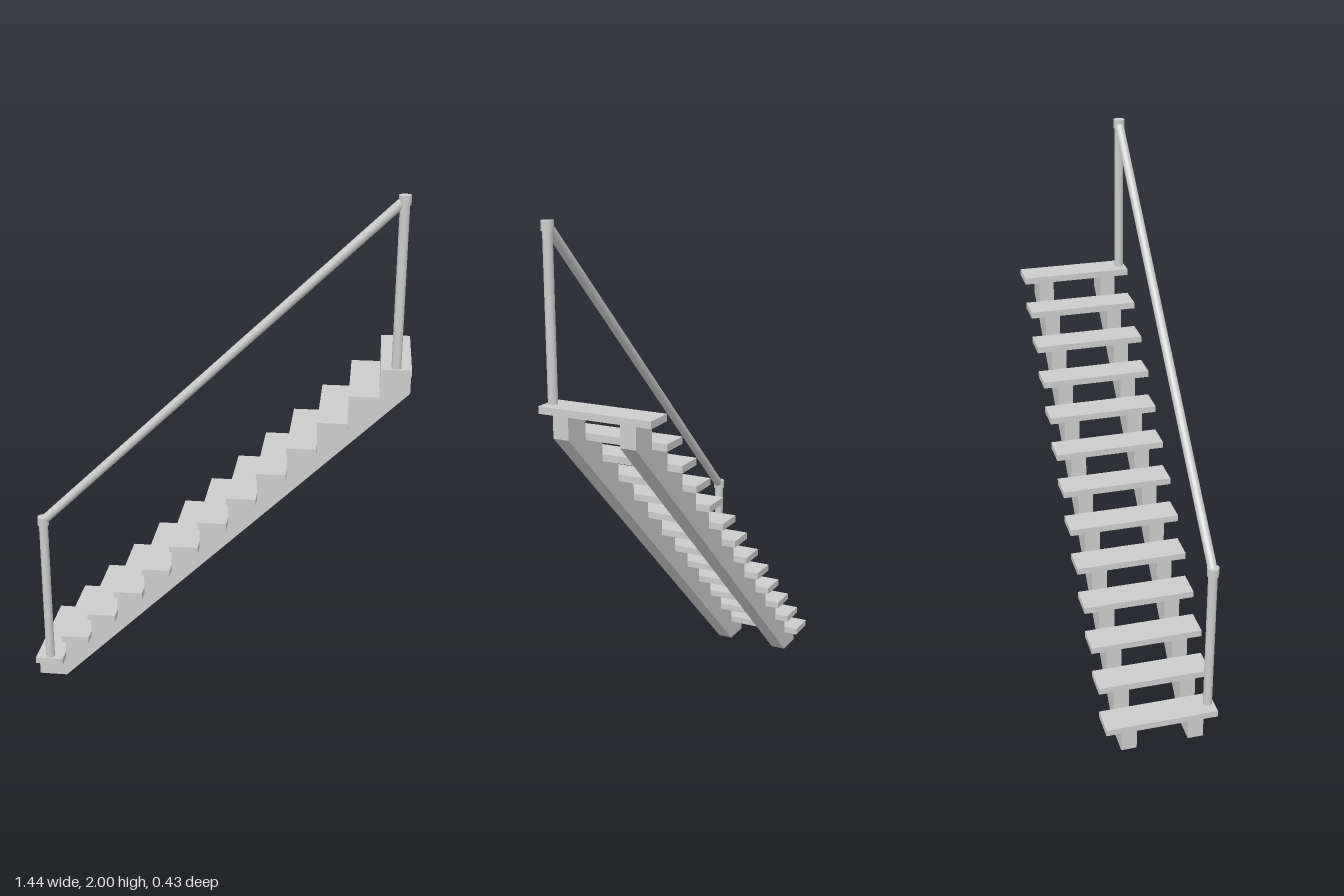
import * as THREE from 'three';

const STEPS = 13, RUN = 1.436 / STEPS, RISE = 1.382 / STEPS;
const X0 = -0.718, TREAD = 0.026, RAIL_Z = 0.193;

export function createModel() {
  const model = new THREE.Group();
  model.name = 'staircase';
  const material = new THREE.MeshStandardMaterial({ color: 0xcccccc });

  function add(name, geometry, x, y, z) {
    const mesh = new THREE.Mesh(geometry, material);
    mesh.name = name;
    mesh.position.set(x, y, z);
    model.add(mesh);
    return mesh;
  }

  // Sawtooth stringers under the treads
  const profile = new THREE.Shape();
  profile.moveTo(X0, 0);
  profile.lineTo(X0 + RUN, 0);
  profile.lineTo(-X0, (STEPS - 1) * RISE);
  for (let i = STEPS - 1; i >= 0; i--) {
    const y = (i + 1) * RISE - TREAD;
    profile.lineTo(X0 + (i + 1) * RUN, y);
    profile.lineTo(X0 + i * RUN, y);
  }
  profile.closePath();
  const stringer = new THREE.ExtrudeGeometry(profile, { depth: 0.06, bevelEnabled: false });
  add('frontStringer', stringer, 0, 0, 0.1);
  add('backStringer', stringer, 0, 0, -0.16);

  // Treads
  const tread = new THREE.BoxGeometry(RUN, TREAD, 0.434);
  for (let i = 0; i < STEPS; i++) {
    add('tread', tread, X0 + (i + 0.5) * RUN, (i + 1) * RISE - TREAD / 2, 0);
  }

  // Posts with caps, one on the lowest and one on the highest tread
  const ends = [0, STEPS - 1].map((i) => {
    const x = X0 + (i + 0.5) * RUN, base = (i + 1) * RISE, top = base + 0.618;
    const height = top - 0.03 - base;
    add('post', new THREE.CylinderGeometry(0.0175, 0.0175, height, 24), x, base + height / 2, RAIL_Z);
    add('postCap', new THREE.CylinderGeometry(0.022, 0.022, 0.034, 24), x, top - 0.017, RAIL_Z);
    return new THREE.Vector3(x, top - 0.017, RAIL_Z);
  });

  // Sloping handrail between the caps
  const span = ends[1].clone().sub(ends[0]);
  const middle = ends[0].clone().lerp(ends[1], 0.5);
  const rail = add('handrail', new THREE.CylinderGeometry(0.0175, 0.0175, span.length(), 24), ...middle.toArray());
  rail.quaternion.setFromUnitVectors(new THREE.Vector3(0, 1, 0), span.normalize());

  return model;
}
